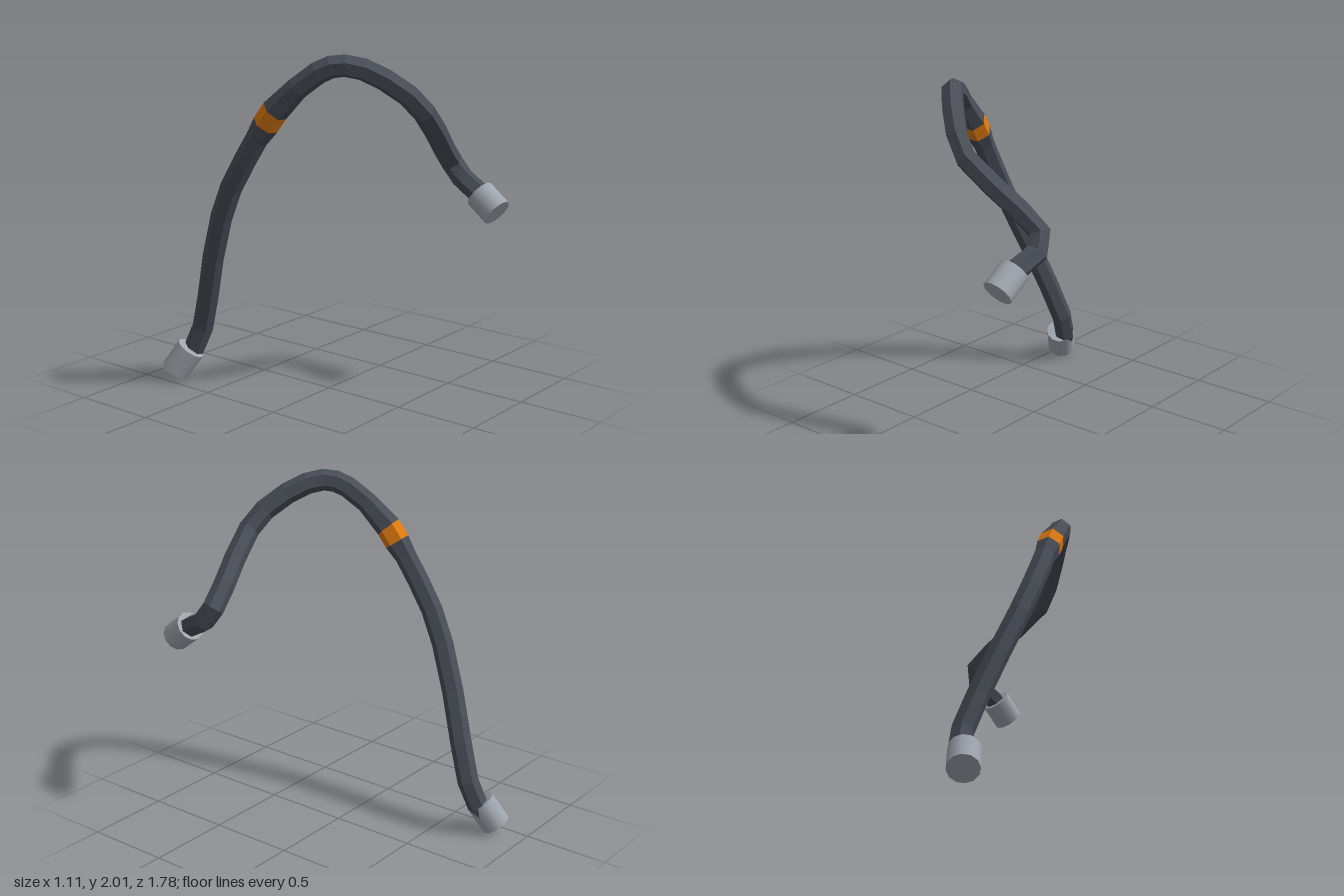
import * as THREE from 'three';

const SIDES = 6;
// Hose centre line: x, y, z, from the rear fitting to the front one
const PATH = [
  [-0.43, 0.06, -0.81], [-0.355, 0.175, -0.745], [-0.335, 0.32, -0.685], [-0.37, 0.53, -0.605],
  [-0.43, 0.8, -0.5], [-0.48, 1.06, -0.385], [-0.495, 1.24, -0.295], [-0.488, 1.4, -0.2],
  [-0.475, 1.53, -0.12], [-0.465, 1.61, -0.065], [-0.455, 1.69, -0.008], [-0.42, 1.82, 0.12],
  [-0.37, 1.905, 0.22], [-0.335, 1.937, 0.28], [-0.295, 1.945, 0.34], [-0.23, 1.925, 0.41],
  [-0.15, 1.87, 0.49], [-0.05, 1.78, 0.575], [0.045, 1.68, 0.615], [0.2, 1.555, 0.585],
  [0.35, 1.435, 0.54], [0.465, 1.335, 0.52], [0.49, 1.25, 0.575], [0.46, 1.185, 0.705],
  [0.45, 1.11, 0.81],
].map((p) => new THREE.Vector3(...p));
const BAND = 9; // the coloured band runs from this point to the next
const radiusAt = (i) => (i === BAND || i === BAND + 1 ? 0.074 : 0.062);

// Six-sided rings carried along the path without twisting
function makeRings() {
  const tangents = PATH.map((p, i) => {
    const a = PATH[Math.max(i - 1, 0)], b = PATH[Math.min(i + 1, PATH.length - 1)];
    const before = p.clone().sub(a).normalize(), after = b.clone().sub(p).normalize();
    return before.add(after).normalize();
  });
  const frames = [];
  const carry = (u, i) => u.clone().addScaledVector(tangents[i], -u.dot(tangents[i])).normalize();
  frames[BAND] = carry(new THREE.Vector3(1, 0, 0), BAND);
  for (let i = BAND + 1; i < PATH.length; i++) frames[i] = carry(frames[i - 1], i);
  for (let i = BAND - 1; i >= 0; i--) frames[i] = carry(frames[i + 1], i);
  return PATH.map((p, i) => {
    const u = frames[i], v = tangents[i].clone().cross(u);
    return Array.from({ length: SIDES }, (_, k) => {
      const a = (k / SIDES) * Math.PI * 2;
      return p.clone().addScaledVector(u, Math.cos(a) * radiusAt(i)).addScaledVector(v, Math.sin(a) * radiusAt(i));
    });
  });
}

// Faceted skin between two ring indices, with optional end caps
function skin(rings, from, to, capStart, capEnd) {
  const pos = [];
  const tri = (...pts) => pts.forEach((p) => pos.push(p.x, p.y, p.z));
  for (let k = 0; k < SIDES; k++) {
    const n = (k + 1) % SIDES;
    for (let i = from; i < to; i++) {
      const [a, b, c, d] = [rings[i][k], rings[i][n], rings[i + 1][n], rings[i + 1][k]];
      tri(a, b, c);
      tri(a, c, d);
    }
    if (capStart) tri(PATH[from], rings[from][n], rings[from][k]);
    if (capEnd) tri(PATH[to], rings[to][k], rings[to][n]);
  }
  const geo = new THREE.BufferGeometry();
  geo.setAttribute('position', new THREE.Float32BufferAttribute(pos, 3));
  geo.computeVertexNormals();
  return geo;
}

export function createModel() {
  const group = new THREE.Group();
  const material = (name, color) => {
    const m = new THREE.MeshStandardMaterial({ color });
    m.name = name;
    return m;
  };
  const rubber = material('dark rubber', 0x484d56);
  const orange = material('orange band', 0xe07b10);
  const metal = material('light metal', 0xa0a6ae);
  const add = (name, geo, mat) => {
    const mesh = new THREE.Mesh(geo, mat);
    mesh.name = name;
    group.add(mesh);
    return mesh;
  };

  // Hose and its marker band
  const rings = makeRings();
  add('hoseRear', skin(rings, 0, BAND, true, false), rubber);
  add('markerBand', skin(rings, BAND, BAND + 1, false, false), orange);
  add('hoseFront', skin(rings, BAND + 1, PATH.length - 1, false, true), rubber);

  // Round end fittings, from outer to inner end
  const fitting = (name, outer, inner) => {
    const a = new THREE.Vector3(...outer), b = new THREE.Vector3(...inner);
    const axis = b.clone().sub(a);
    const mesh = add(name, new THREE.CylinderGeometry(0.086, 0.086, axis.length(), 12), metal);
    mesh.position.copy(a).add(b).multiplyScalar(0.5);
    mesh.quaternion.setFromUnitVectors(new THREE.Vector3(0, 1, 0), axis.normalize());
  };
  fitting('rearFitting', [-0.44, 0.048, -0.82], [-0.385, 0.19, -0.738]);
  fitting('frontFitting', [0.445, 1.092, 0.838], [0.453, 1.183, 0.715]);
  return group;
}
